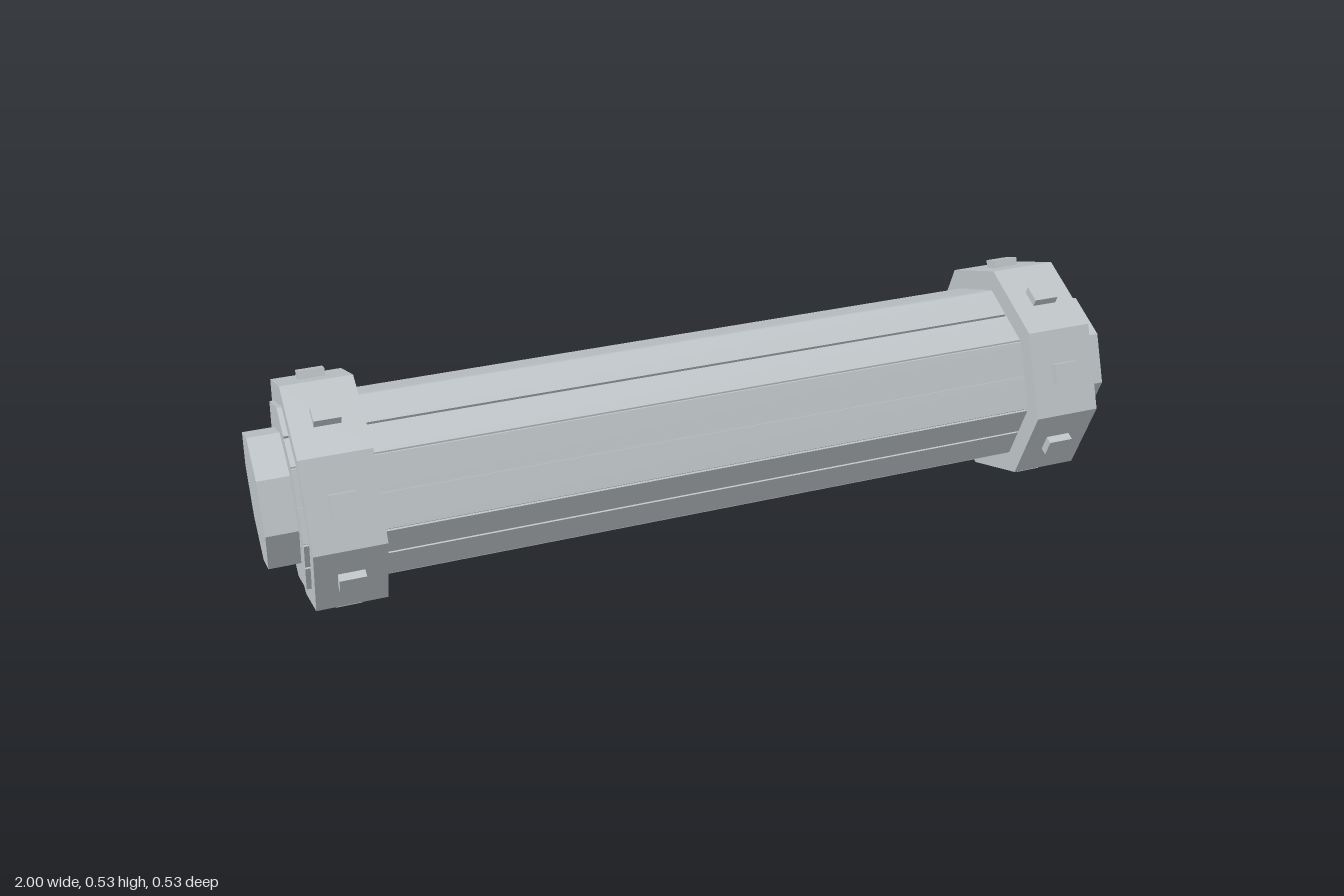
import * as THREE from 'three';

const SIDES = 8;
const CENTRE_Y = 0.264;
const STEP = (Math.PI * 2) / SIDES;

// Eight-sided prism lying along x with a corner pointing up
function octagonBar(radius, length) {
  const geometry = new THREE.CylinderGeometry(radius, radius, length, SIDES)
    .rotateZ(Math.PI / 2)
    .toNonIndexed();
  geometry.computeVertexNormals();
  return geometry;
}

// Octagon outline with a slot in the middle of each side and a nick at each corner
function groovedOutline(radius) {
  const apothem = radius * Math.cos(STEP / 2);
  const slotHalf = 0.0028, slotDepth = 0.009, nick = 0.003;
  const points = [];
  const add = (angle, out, across) => points.push(new THREE.Vector2(
    Math.cos(angle) * out - Math.sin(angle) * across,
    Math.sin(angle) * out + Math.cos(angle) * across
  ));
  const halfSide = radius * Math.sin(STEP / 2);
  for (let i = 0; i < SIDES; i++) {
    const mid = (i + 0.5) * STEP;
    add(i * STEP, radius - 0.004, 0);
    add(mid, apothem, -halfSide + nick);
    add(mid, apothem, -slotHalf);
    add(mid, apothem - slotDepth, -slotHalf);
    add(mid, apothem - slotDepth, slotHalf);
    add(mid, apothem, slotHalf);
    add(mid, apothem, halfSide - nick);
  }
  return new THREE.Shape(points);
}

export function createModel() {
  const model = new THREE.Group();
  model.name = 'octagonalCylinder';
  const metal = new THREE.MeshStandardMaterial({ color: 0xbfc5c8 });
  metal.name = 'pale grey metal';

  const add = (parent, name, geometry) => {
    const mesh = new THREE.Mesh(geometry, metal);
    mesh.name = name;
    parent.add(mesh);
    return mesh;
  };

  const bar = new THREE.Group();
  bar.name = 'bar';
  bar.position.y = CENTRE_Y;
  model.add(bar);

  // Long grooved body
  const bodyLength = 1.86;
  const body = new THREE.ExtrudeGeometry(groovedOutline(0.215), {
    depth: bodyLength, bevelEnabled: false,
  });
  body.translate(0, 0, -bodyLength / 2).rotateY(Math.PI / 2);
  add(bar, 'groovedBody', body);

  const collarGeometry = octagonBar(0.264, 0.156);
  const capGeometry = octagonBar(0.155, 0.08);
  const studGeometry = new THREE.BoxGeometry(0.058, 0.03, 0.044);

  for (const side of [-1, 1]) {
    const end = new THREE.Group();
    end.name = side > 0 ? 'leftEnd' : 'rightEnd';
    bar.add(end);

    // Collar and protruding end cap
    add(end, 'collar', collarGeometry).position.x = side * 0.841;
    add(end, 'endCap', capGeometry).position.x = side * 0.96;

    // One stud on each collar face
    for (let i = 0; i < SIDES; i++) {
      const angle = (i + 0.5) * STEP;
      const stud = add(end, 'stud', studGeometry);
      const out = 0.2625 - 0.015;
      stud.position.set(side * 0.841, Math.cos(angle) * out, Math.sin(angle) * out);
      stud.rotation.x = angle;
    }
  }
  return model;
}
